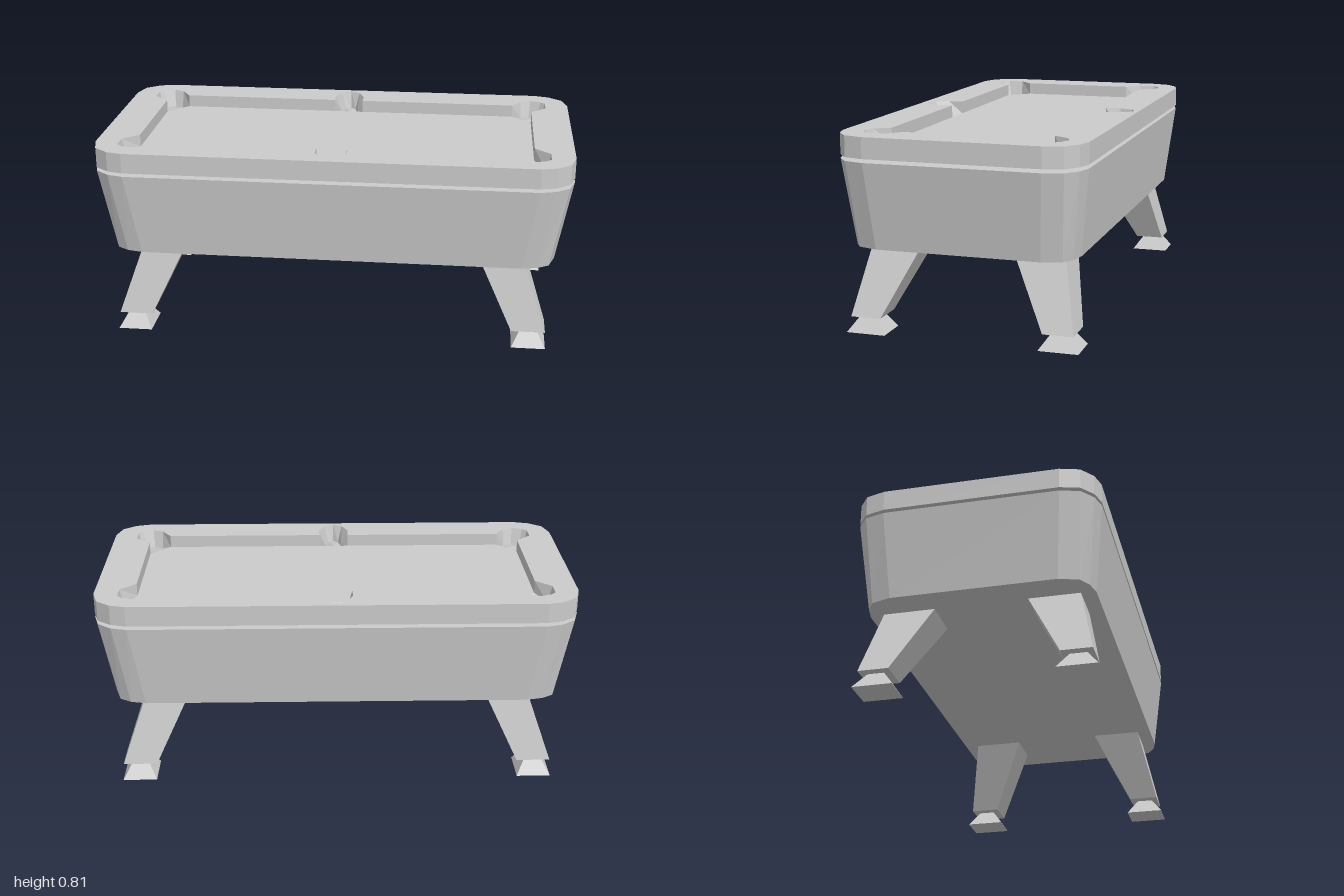
import * as THREE from 'three';

const material = new THREE.MeshStandardMaterial({ color: 0xcccccc, flatShading: true });
const RAIL_TOP = 0.81, RAIL_BASE = 0.725, BED = 0.757, POCKET = 0.735;
const CABINET_TOP = 0.71, CABINET_BASE = 0.357;

function addMesh(parent, name, geometry) {
  const mesh = new THREE.Mesh(geometry, material);
  mesh.name = name;
  parent.add(mesh);
  return mesh;
}

// Mirrors one quarter outline (from the +z side round to the +x side) into a full
// loop, counterclockwise from above. Points are [x, y, z].
function mirrorLoop(quarter) {
  const loop = [];
  [[1, 1], [1, -1], [-1, -1], [-1, 1]].forEach(([sx, sz], i) => {
    const part = quarter.map(([x, y, z]) => [x * sx, y, z * sz]);
    if (i % 2) part.reverse();
    for (const p of part) {
      const last = loop[loop.length - 1];
      if (!last || Math.hypot(p[0] - last[0], p[2] - last[2]) > 1e-6) loop.push(p);
    }
  });
  const a = loop[0], b = loop[loop.length - 1];
  if (Math.hypot(a[0] - b[0], a[2] - b[2]) < 1e-6) loop.pop();
  return loop;
}

function fromTriangles(points) {
  const geometry = new THREE.BufferGeometry();
  geometry.setAttribute('position', new THREE.Float32BufferAttribute(points.flat(), 3));
  geometry.computeVertexNormals();
  return geometry;
}

// Wall between two loops, facing outward (or inward)
function wall(lower, upper, inward = false) {
  const tris = [];
  lower.forEach((a, i) => {
    const j = (i + 1) % lower.length;
    const b = lower[j], c = upper[j], d = upper[i];
    tris.push(...(inward ? [a, c, b, a, d, c] : [a, b, c, a, c, d]));
  });
  return fromTriangles(tris);
}

// Flat face filling a loop, optionally with a hole
function cap(loop, y, { hole = null, down = false } = {}) {
  const flat = (pts) => pts.map((p) => new THREE.Vector2(p[0], down ? p[2] : -p[2]));
  const shape = new THREE.Shape(flat(loop));
  if (hole) shape.holes.push(new THREE.Path(flat(hole)));
  return new THREE.ShapeGeometry(shape).rotateX(down ? Math.PI / 2 : -Math.PI / 2).translate(0, y, 0);
}

const atHeight = (loop, y) => loop.map((p) => [p[0], y, p[2]]);

// Four-sided tapered block from a top and a bottom rectangle [x0, x1, z0, z1]
function taperedBlock(top, yTop, bottom, yBottom) {
  const geometry = new THREE.BoxGeometry(1, 1, 1);
  const pos = geometry.attributes.position;
  for (let i = 0; i < pos.count; i++) {
    const up = pos.getY(i) > 0, r = up ? top : bottom;
    pos.setXYZ(i, r[pos.getX(i) > 0 ? 1 : 0], up ? yTop : yBottom, r[pos.getZ(i) > 0 ? 3 : 2]);
  }
  geometry.computeVertexNormals();
  return geometry;
}

function makeRail() {
  const rail = new THREE.Group();
  rail.name = 'railAndBed';

  const outer = mirrorLoop([[0.855, 0, 0.5], [0.92, 0, 0.482], [0.977, 0, 0.437], [1, 0, 0.357]]);

  // Quarter of the opening: half a side pocket, then a corner pocket
  const side = [[0, 0.48], [0.04, 0.46], [0.065, 0.40]];
  const corner = [[0.79, 0.40], [0.835, 0.417], [0.88, 0.40], [0.9, 0.38], [0.9, 0.31]];
  const mouths = [[0.065, 0.337], [0.75, 0.337], [0.835, 0.25]];
  const rim = ([x, z]) => [x, RAIL_TOP, z];
  const edge = ([x, z]) => [x, BED, z];
  const upper = mirrorLoop([...side.map(rim), rim(mouths[0]), rim(mouths[1]), ...corner.map(rim), rim(mouths[2])]);
  const lower = mirrorLoop([
    ...side.map(([x, z]) => [x * 0.55, POCKET, 0.337 + (z - 0.337) * 0.88]),
    edge(mouths[0]), edge(mouths[1]),
    ...corner.map(([x, z]) => [0.81 + (x - 0.81) * 0.8, POCKET, 0.31 + (z - 0.31) * 0.8]),
    edge(mouths[2]),
  ]);

  addMesh(rail, 'railTop', cap(outer, RAIL_TOP, { hole: upper }));
  addMesh(rail, 'railSide', wall(atHeight(outer, RAIL_BASE), atHeight(outer, RAIL_TOP)));
  addMesh(rail, 'railUnderside', cap(outer, RAIL_BASE, { down: true }));
  addMesh(rail, 'cushionWalls', wall(lower, upper, true));
  addMesh(rail, 'bed', cap(lower.filter((p) => p[1] === BED), BED));

  // Sloping pocket floors, fanned from the middle of each mouth
  const n = lower.length;
  const floors = [];
  lower.forEach((start, i) => {
    if (start[1] !== BED || lower[(i + 1) % n][1] === BED) return;
    const run = [start];
    let k = i;
    do {
      k = (k + 1) % n;
      run.push(lower[k]);
    } while (lower[k][1] !== BED);
    const end = lower[k];
    const mid = start.map((v, c) => (v + end[c]) / 2);
    for (let m = 0; m < run.length - 1; m++) floors.push(mid, run[m], run[m + 1]);
  });
  addMesh(rail, 'pocketFloors', fromTriangles(floors));
  return rail;
}

function makeCabinet() {
  const cabinet = new THREE.Group();
  cabinet.name = 'cabinet';
  const y0 = CABINET_BASE, y1 = CABINET_TOP;
  const top = mirrorLoop([[0.855, y1, 0.5], [0.92, y1, 0.482], [0.977, y1, 0.437], [1, y1, 0.357]]);
  const base = mirrorLoop([[0.80, y0, 0.46], [0.865, y0, 0.445], [0.912, y0, 0.415], [0.937, y0, 0.335]]);
  addMesh(cabinet, 'cabinetSides', wall(base, top));
  addMesh(cabinet, 'cabinetTop', cap(top, y1));
  addMesh(cabinet, 'cabinetBottom', cap(base, y0, { down: true }));
  return cabinet;
}

export function createModel() {
  const table = new THREE.Group();
  table.name = 'poolTable';
  table.add(makeRail(), makeCabinet());

  // Splayed legs on flared feet
  const place = ([x0, x1, z0, z1], sx, sz) => [
    ...(sx > 0 ? [x0, x1] : [-x1, -x0]),
    ...(sz > 0 ? [z0, z1] : [-z1, -z0]),
  ];
  for (const sx of [1, -1]) {
    for (const sz of [1, -1]) {
      const where = (sz > 0 ? 'front' : 'back') + (sx > 0 ? 'Left' : 'Right');
      const block = (top, yTop, bottom, yBottom) =>
        taperedBlock(place(top, sx, sz), yTop, place(bottom, sx, sz), yBottom);
      addMesh(table, where + 'Leg',
        block([0.63, 0.81, 0.19, 0.4], CABINET_BASE, [0.77, 0.912, 0.335, 0.46], 0.067));
      addMesh(table, where + 'Foot',
        block([0.81, 0.875, 0.364, 0.432], 0.067, [0.772, 0.915, 0.317, 0.48], 0));
    }
  }
  return table;
}
